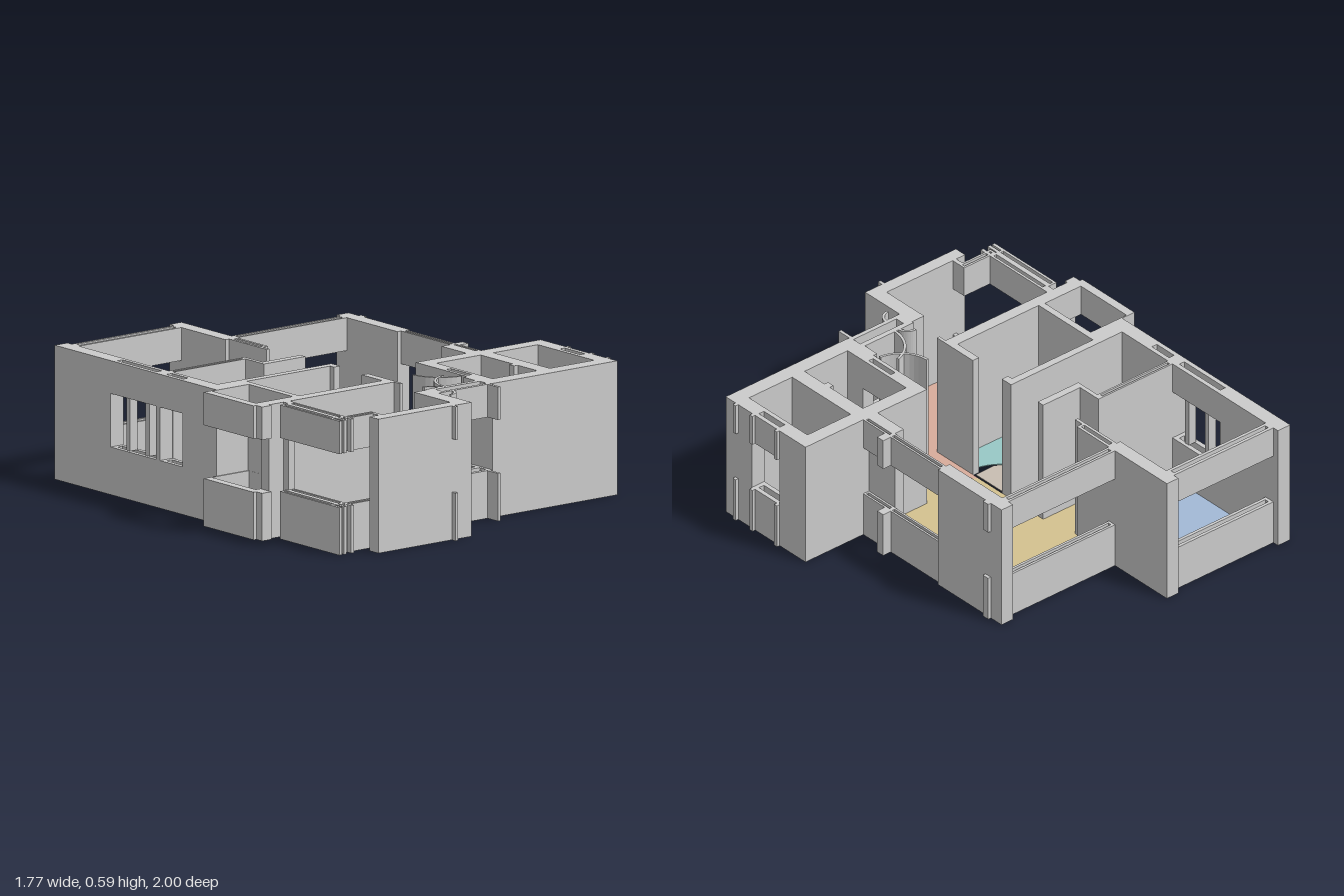
import * as THREE from 'three';

const HEIGHT = 0.59, SILL = 0.21, HEAD = 0.445;
const wallMat = new THREE.MeshStandardMaterial({ color: 0xcccccc, flatShading: true, side: THREE.DoubleSide });

// Plan outline given as [x, z] pairs, drawn in the shape's x / -z plane
const outline = (pts, Type = THREE.Shape) => new Type(pts.map(([x, z]) => new THREE.Vector2(x, -z)));
const rect = (x1, z1, x2, z2) => [[x1, z1], [x1, z2], [x2, z2], [x2, z1]];
const arc = (cx, cz, r, from, to, n = 10) => Array.from({ length: n + 1 }, (_, i) => {
  const a = THREE.MathUtils.degToRad(from + (to - from) * i / n);
  return [cx + r * Math.cos(a), cz + r * Math.sin(a)];
});

// Raise a plan outline, with optional holes, between two heights
function raise(group, name, pts, y1, y2, holes = [], mat = wallMat) {
  const shape = outline(pts);
  for (const h of holes) shape.holes.push(outline(h, THREE.Path));
  const geo = new THREE.ExtrudeGeometry(shape, { depth: y2 - y1, bevelEnabled: false });
  geo.rotateX(-Math.PI / 2).translate(0, y1, 0);
  const mesh = new THREE.Mesh(geo, mat);
  mesh.name = name;
  group.add(mesh);
}

// The long narrow cavity inside a wall run, leaving skins on both faces
function cavity(x1, z1, x2, z2) {
  const skin = Math.min(x2 - x1, z2 - z1) * 0.3;
  return rect(x1 + skin, z1 + skin, x2 - skin, z2 - skin);
}

export function createModel() {
  const model = new THREE.Group();
  model.name = 'apartment';
  const part = (name) => {
    const g = new THREE.Group();
    g.name = name;
    model.add(g);
    return g;
  };
  const walls = part('walls'), windows = part('windows'), nibs = part('nibs');
  const screens = part('entranceScreens'), floors = part('floors');

  const wall = (...r) => raise(walls, 'wall', rect(...r), 0, HEIGHT);
  const hollowWall = (...r) => raise(walls, 'hollowWall', rect(...r), 0, HEIGHT, [cavity(...r)]);
  // Sill and lintel only, leaving the middle open
  const bands = (group, name, pts, holes) => {
    raise(group, name + 'Sill', pts, 0, SILL, holes);
    raise(group, name + 'Lintel', pts, HEAD, HEIGHT, holes);
  };
  const opening = (...r) => bands(windows, 'window', rect(...r), [cavity(...r)]);
  const nib = (x, z, w, d) => bands(nibs, 'nib', rect(x, z, x + w, z + d), []);
  const floor = (name, color, pts) =>
    raise(floors, name, pts, 0, 0.004, [], new THREE.MeshStandardMaterial({ color }));

  // Back bedroom
  wall(-0.815, -1, -0.745, -0.62);
  wall(-0.18, -1, -0.115, -0.62);
  opening(-0.745, -0.97, -0.18, -0.92);
  opening(-0.815, -0.62, -0.745, -0.31);
  hollowWall(-0.16, -0.62, -0.115, -0.41);
  wall(-0.16, -0.41, -0.145, -0.365);
  hollowWall(-0.745, -0.31, -0.345, -0.28);
  wall(-0.345, -0.31, -0.325, -0.155);
  wall(-0.325, -0.19, -0.115, -0.155);
  for (const z of [-0.53, -0.4]) raise(windows, 'mullion', rect(-0.8, z, -0.76, z + 0.025), SILL, HEAD);
  floor('backBedroomFloor', 0xa3b9d6, [[-0.745, -0.92], [-0.18, -0.92], [-0.18, -0.62], [-0.16, -0.4],
    [-0.325, -0.24], [-0.325, -0.31], [-0.745, -0.31]]);

  // Living room and hall
  wall(-0.815, -0.31, -0.745, -0.285);
  opening(-0.815, -0.285, -0.745, -0.13);
  wall(-0.815, -0.13, -0.745, 0.1);
  wall(0.49, -0.69, 0.555, -0.275);
  wall(0.46, 0.06, 0.51, 0.23);
  opening(-0.115, -0.66, 0.49, -0.62);
  opening(0.51, -0.275, 0.542, 0.06);
  opening(0.51, 0.06, 0.542, 0.23);
  floor('livingRoomFloor', 0xd4c290, [[-0.115, -0.62], [0.49, -0.62], [0.51, -0.275], [0.51, 0.06],
    [0.46, 0.23], [0.18, 0.23], [0.18, 0.4], [0.06, 0.4], [-0.115, 0.23], [-0.115, -0.19],
    [-0.325, -0.19], [-0.325, -0.24], [-0.155, -0.405]]);
  floor('hallFloor', 0xd4c290, [[-0.745, -0.28], [-0.345, -0.28], [-0.345, -0.155], [-0.115, -0.155],
    [-0.115, 0.02], [-0.745, 0.02]]);

  // Bathroom and closet bay
  wall(-0.745, 0.02, -0.115, 0.055);
  wall(-0.745, 0.055, -0.61, 0.1);
  wall(-0.64, 0.1, -0.61, 0.41);
  wall(-0.15, 0.055, -0.115, 0.08);
  wall(-0.15, 0.27, -0.115, 0.41);
  wall(-0.82, 0.41, -0.115, 0.465);
  bands(walls, 'closet', rect(-0.885, 0.1, -0.64, 0.44), [rect(-0.845, 0.106, -0.641, 0.405)]);
  floor('closetFloor', 0xc8beb2, rect(-0.845, 0.106, -0.64, 0.405));
  floor('bathroomFloor', 0x98c8c6, [[-0.61, 0.055], [-0.15, 0.055], [-0.15, 0.075],
    ...arc(-0.12, 0.09, 0.215, 180, 98), [-0.15, 0.41], [-0.61, 0.41]]);
  floor('bathroomDoorSwing', 0xc8beb2, [[-0.125, 0.095], ...arc(-0.125, 0.095, 0.2, 180, 122), [-0.125, 0.262]]);

  // Front bedroom with its corner window
  wall(-0.63, 0.915, -0.115, 0.975);
  wall(-0.185, 0.67, -0.115, 0.915);
  wall(-0.13, 0.465, -0.115, 0.505);
  wall(-0.74, 0.465, -0.705, 0.5);
  opening(-0.785, 0.495, -0.745, 0.84);
  opening(-0.745, 0.495, -0.705, 0.84);
  opening(-0.74, 0.84, -0.56, 0.875);
  floor('frontBedroomFloor', 0xd9ad9b, [[-0.705, 0.465], [-0.115, 0.465], [-0.115, 0.23], [0.05, 0.395],
    [0.04, 0.52], [-0.02, 0.62], [-0.115, 0.67], [-0.185, 0.67], [-0.185, 0.915], [-0.56, 0.915],
    [-0.56, 0.84], [-0.705, 0.84]]);

  // Twin shafts
  for (const z of [0.23, 0.68]) wall(0.18, z, 0.87, z + 0.068);
  wall(0.485, 0.295, 0.555, 0.68);
  wall(0.465, 0.515, 0.485, 0.55);
  for (const [x1, x2] of [[0.18, 0.24], [0.8, 0.87]]) {
    wall(x1, 0.295, x2, 0.4);
    wall(x1, 0.58, x2, 0.68);
    opening(x1, 0.4, x2, 0.58);
  }
  for (const x of [0.24, 0.555]) floor('shaftFloor', 0xc8beb2, rect(x, 0.295, x + 0.245, 0.68));
  raise(walls, 'shaftFrontEdge', rect(0.18, 0.748, 0.87, 0.752), 0, HEIGHT);

  // Entrance bay with curved screens
  bands(walls, 'entrance', rect(-0.115, 0.66, 0.18, 0.75), [rect(-0.08, 0.685, 0.165, 0.73)]);
  floor('entranceFloor', 0xc8beb2, rect(-0.08, 0.685, 0.165, 0.73));
  floor('entranceDoorSwing', 0xc8beb2, [[0.165, 0.66], ...arc(0.165, 0.66, 0.173, 180, 242), [0.165, 0.56]]);
  const screen = (x, z, r, from, to) => raise(screens, 'curvedScreen',
    [...arc(x, z, r, from, to), ...arc(x, z, r - 0.012, to, from)], 0, HEIGHT);
  screen(0.18, 0.4, 0.16, 95, 178);
  screen(0.165, 0.665, 0.185, 180, 255);
  screen(-0.09, 0.67, 0.06, 270, 360);
  screen(-0.09, 0.745, 0.06, 0, 90);

  // Small nibs and returns on the outside faces
  nib(0.542, 0.05, 0.043, 0.04);
  nib(0.555, -0.62, 0.015, 0.035);
  for (const z of [0.4, 0.56, 0.67]) nib(0.87, z, 0.015, 0.018);
  nib(0.155, 0.75, 0.015, 0.07);
  nib(0.16, 0.58, 0.02, 0.08);
  nib(-0.225, 0.975, 0.015, 0.025);
  nib(-0.87, 0.44, 0.05, 0.04);
  for (const x of [-0.785, -0.76, -0.72]) nib(x, 0.84, 0.015, 0.06);
  nib(-0.58, 0.875, 0.02, 0.04);

  return model;
}
